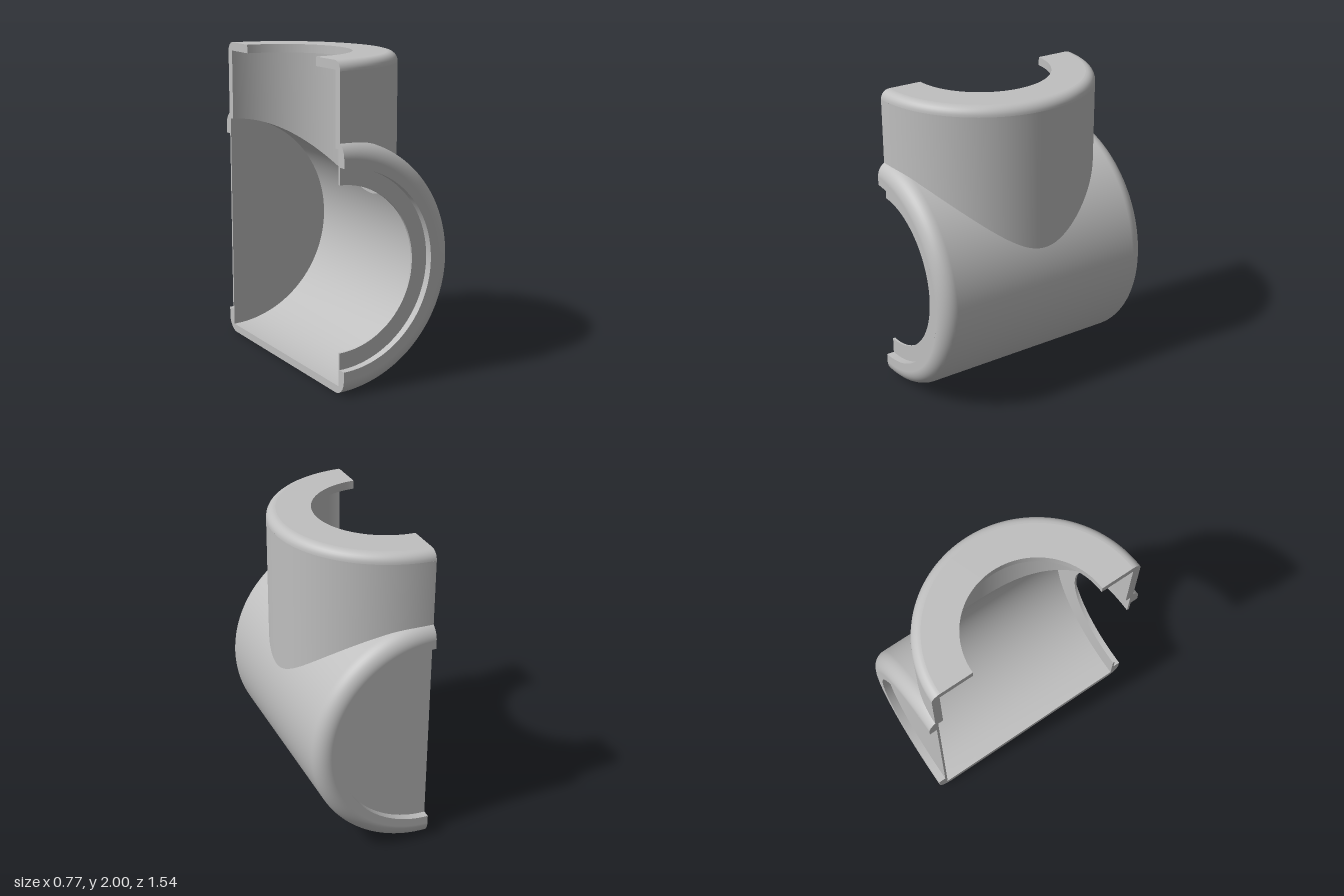
import * as THREE from 'three';

const R = 0.77, RI = 0.72;        // main barrel: outer and inner radius
const P = 0.723, PI_ = 0.67;      // branch pipe: outer and inner radius
const FIL = 0.1, END = 0.77;      // barrel end rounding and half length
const TOP = 1.23, TFIL = 0.06, WALL = 0.055;
const LIP = 0.615, HOLE = 0.51, TOPHOLE = 0.445;
const SEG = 64;

// Grid surface from fn(i, j) -> { p, n }; triangles are wound to agree with the normals
function grid(nu, nv, fn) {
  const pos = [], nor = [], idx = [];
  const pts = [], ns = [];
  for (let i = 0; i <= nu; i++) for (let j = 0; j <= nv; j++) {
    const { p, n } = fn(i, j);
    pts.push(p); ns.push(n);
    pos.push(p.x, p.y, p.z); nor.push(n.x, n.y, n.z);
  }
  const e = new THREE.Vector3(), f = new THREE.Vector3();
  const tri = (a, b, c) => {
    e.subVectors(pts[b], pts[a]); f.subVectors(pts[c], pts[a]); e.cross(f);
    if (e.length() < 1e-10) return;
    const m = ns[a].clone().add(ns[b]).add(ns[c]);
    if (e.dot(m) > 0) idx.push(a, b, c); else idx.push(a, c, b);
  };
  for (let i = 0; i < nu; i++) for (let j = 0; j < nv; j++) {
    const a = i * (nv + 1) + j, b = a + nv + 1;
    tri(a, b, b + 1); tri(a, b + 1, a + 1);
  }
  const g = new THREE.BufferGeometry();
  g.setAttribute('position', new THREE.Float32BufferAttribute(pos, 3));
  g.setAttribute('normal', new THREE.Float32BufferAttribute(nor, 3));
  g.setIndex(idx);
  return g;
}

// Barrel radius at distance z from the middle, with a rounded end
const radiusAt = (z, rad, fil, end) => {
  const d = Math.max(0, z - (end - fil));
  return rad - fil + Math.sqrt(Math.max(0, fil * fil - d * d));
};

// Half of the barrel, from the branch opening to one end
function barrel(rad, pipe, fil, end, zSign, inward) {
  const nA = 40, nB = 44, nS = 8, nF = fil ? 10 : 0, s = inward ? -1 : 1;
  const aMax = Math.asin(pipe / rad), flat = end - fil;
  return grid(nA + nB, nS + nF, (i, j) => {
    let a, z0 = 0;
    if (i <= nA) {
      const t = i / nA * Math.PI / 2;
      z0 = pipe * Math.cos(t);
      a = Math.asin(pipe * Math.sin(t) / radiusAt(z0, rad, fil, end));
    } else a = aMax + (Math.PI - aMax) * (i - nA) / nB;
    const phi0 = fil && z0 > flat ? Math.asin((z0 - flat) / fil) : 0;
    let z, phi = phi0;
    if (j <= nS) z = z0 > flat ? z0 : z0 + (flat - z0) * j / nS;
    else {
      phi = phi0 + (Math.PI / 2 - phi0) * (j - nS) / nF;
      z = flat + fil * Math.sin(phi);
    }
    const r = rad - fil + fil * Math.cos(phi), c = Math.cos(phi);
    return {
      p: new THREE.Vector3(r * Math.sin(a), r * Math.cos(a), z * zSign),
      n: new THREE.Vector3(c * Math.sin(a), c * Math.cos(a), Math.sin(phi) * zSign).multiplyScalar(s),
    };
  });
}

// Branch wall, from its seam with the barrel up to a level rim
function branch(pipe, rad, fil, end, top, inward) {
  const s = inward ? -1 : 1;
  return grid(80, 4, (i, j) => {
    const t = i / 80 * Math.PI, x = pipe * Math.sin(t), z = pipe * Math.cos(t);
    const r = radiusAt(Math.abs(z), rad, fil, end);
    const y0 = Math.sqrt(Math.max(0, r * r - x * x));
    return {
      p: new THREE.Vector3(x, y0 + (top - y0) * j / 4, z),
      n: new THREE.Vector3(Math.sin(t) * s, 0, Math.cos(t) * s),
    };
  });
}

// Half-turn surface from [radius, height] points
const halfLathe = (pts) =>
  new THREE.LatheGeometry(pts.map(([r, h]) => new THREE.Vector2(r, h)), SEG, 0, Math.PI);

// Quarter-round points about (cr, ch), from the side to the end
const quarter = (cr, ch, f, n = 8) => Array.from({ length: n + 1 }, (_, k) => {
  const a = k / n * Math.PI / 2;
  return [cr + f * Math.cos(a), ch + f * Math.sin(a)];
});

export function createModel() {
  const grey = new THREE.MeshStandardMaterial({ color: 0xbfbfbf, side: THREE.DoubleSide });
  grey.name = 'plain grey';
  const model = new THREE.Group();
  model.name = 'halfTeeHousing';
  const body = new THREE.Group();
  body.name = 'teeShell';
  body.position.set(-0.385, 0.77, 0);
  model.add(body);
  const add = (name, geo) => {
    const m = new THREE.Mesh(geo, grey);
    m.name = name;
    body.add(m);
    return m;
  };

  // Barrel walls and end lips
  for (const s of [1, -1]) {
    const side = s > 0 ? 'front' : 'back';
    add(side + 'BarrelOuter', barrel(R, P, FIL, END, s, false));
    add(side + 'BarrelInner', barrel(RI, PI_, 0, RI, s, true));
    add(side + 'LipFace', halfLathe([[R - FIL, s * END], [LIP, s * END]]).rotateX(Math.PI / 2));
    add(side + 'LipEdge', halfLathe([[LIP, s * END], [LIP, s * RI]]).rotateX(Math.PI / 2));
  }

  // End plates behind the lips: an open ring in front, a closed disc at the back
  for (const [name, hole, z] of [['frontRingPlate', HOLE, 0.705], ['backClosedPlate', 0, -0.72]]) {
    const sh = new THREE.Shape();
    sh.absarc(0, 0, RI, -Math.PI / 2, Math.PI / 2, false);
    if (hole) sh.absarc(0, 0, hole, Math.PI / 2, -Math.PI / 2, true);
    sh.closePath();
    add(name, new THREE.ExtrudeGeometry(sh, { depth: 0.015, bevelEnabled: false, curveSegments: 48 }))
      .position.z = z;
  }

  // Branch pipe with rounded shoulder and inward flange
  add('branchOuter', branch(P, R, FIL, END, TOP - TFIL, false));
  add('branchInner', branch(PI_, RI, 0, RI, TOP - WALL, true));
  add('branchShoulder', halfLathe(quarter(P - TFIL, TOP - TFIL, TFIL)));
  add('branchFlangeTop', halfLathe([[P - TFIL, TOP], [TOPHOLE, TOP]]));
  add('branchFlangeEdge', halfLathe([[TOPHOLE, TOP], [TOPHOLE, TOP - WALL]]));
  add('branchFlangeUnderside', halfLathe([[TOPHOLE, TOP - WALL], [PI_, TOP - WALL]]));

  // Cut faces of the wall: two upper sections and the floor section
  const seam = Math.asin((P - (END - FIL)) / FIL);
  const fillet = (from) => Array.from({ length: 9 }, (_, k) => {
    const a = from + (Math.PI / 2 - from) * k / 8;
    return [END - FIL + FIL * Math.sin(a), R - FIL + FIL * Math.cos(a)];
  });
  const upper = [
    [TOPHOLE, TOP], ...quarter(P - TFIL, TOP - TFIL, TFIL).reverse(), ...fillet(seam),
    [END, LIP], [RI, LIP], [RI, RI], [PI_, RI], [PI_, TOP - WALL], [TOPHOLE, TOP - WALL],
  ];
  const lowerHalf = [...fillet(0), [END, LIP], [RI, LIP], [RI, RI]].map(([z, y]) => [z, -y]);
  const lower = [...lowerHalf, ...lowerHalf.map(([z, y]) => [-z, y]).reverse()];
  const section = (name, pts) => {
    const sh = new THREE.Shape(pts.map(([z, y]) => new THREE.Vector2(z, y)));
    add(name, new THREE.ShapeGeometry(sh).rotateY(-Math.PI / 2));
  };
  section('frontUpperCutFace', upper);
  section('backUpperCutFace', upper.map(([z, y]) => [-z, y]));
  section('floorCutFace', lower);

  return model;
}
